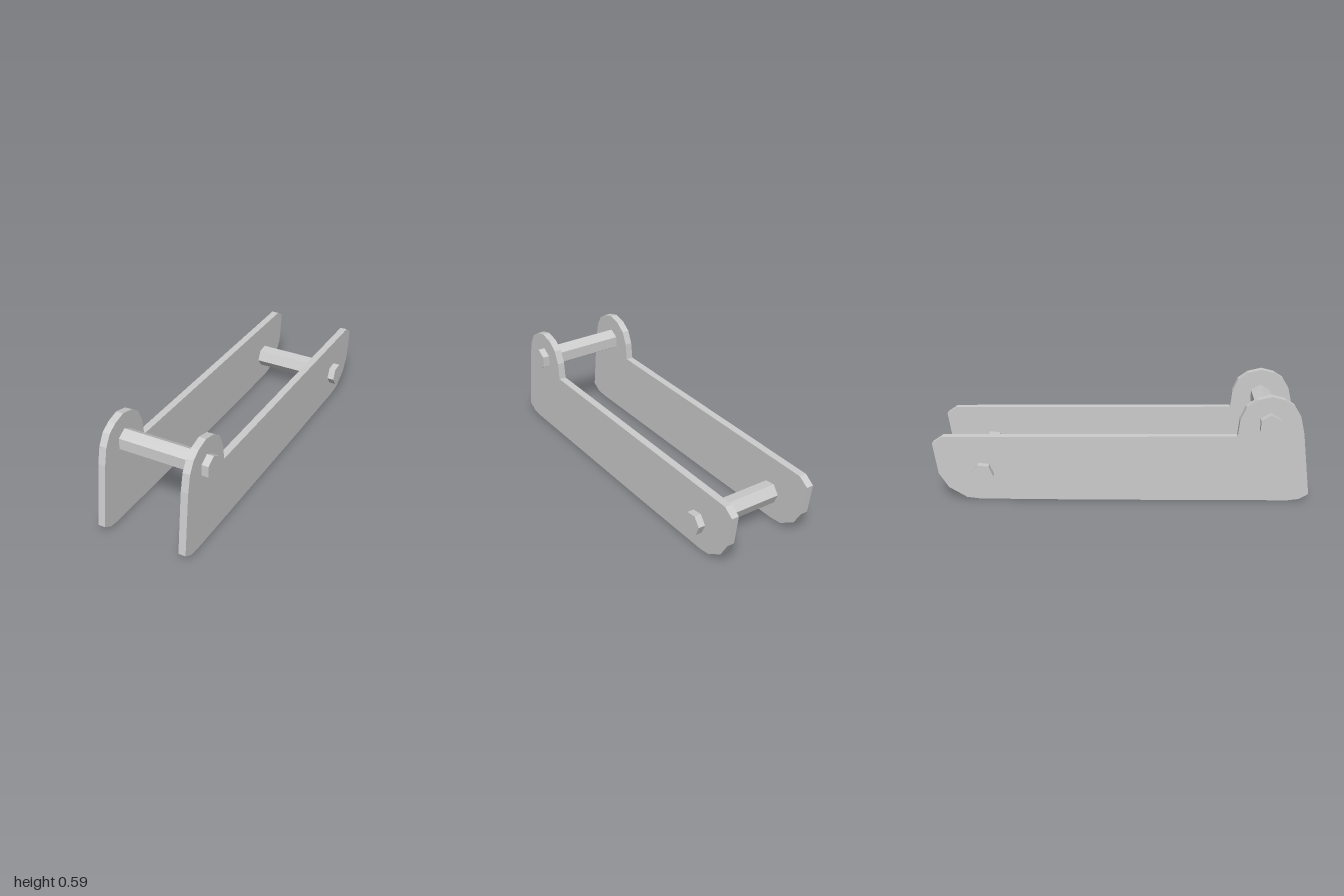
import * as THREE from 'three';

const material = new THREE.MeshStandardMaterial({ color: 0xcccccc, flatShading: true });

// Extrudes a side profile given as [z, y] points along x, centred on x
function extrudeAcross(points, width, x, name) {
  const shape = new THREE.Shape(points.map(([z, y]) => new THREE.Vector2(z, y)));
  const geometry = new THREE.ExtrudeGeometry(shape, { depth: width, bevelEnabled: false });
  geometry.translate(0, 0, -width / 2).rotateY(-Math.PI / 2);
  const mesh = new THREE.Mesh(geometry, material);
  mesh.position.x = x;
  mesh.name = name;
  return mesh;
}

// Six-sided pin profile around (z, y), turned by an angle
function hexagon(z, y, radius, turn) {
  return Array.from({ length: 6 }, (_, i) => {
    const a = turn + (i * Math.PI) / 3;
    return [z + radius * Math.cos(a), y + radius * Math.sin(a)];
  });
}

export function createModel() {
  const group = new THREE.Group();
  group.name = 'linkFrame';

  // Side plate: long bar, rounded lug at the front, clipped rounded back end
  const outline = [
    [1, 0.04], [0.95, 0.01], [0.89, 0.002], [-0.2, 0], [-0.76, 0.003],
    [-0.83, 0.012], [-0.925, 0.07], [-0.975, 0.15], [-1, 0.32], [-0.945, 0.358],
    [0.61, 0.368], [0.62, 0.46], [0.65, 0.53], [0.705, 0.57], [0.78, 0.588],
    [0.85, 0.57], [0.9, 0.538], [0.935, 0.48], [0.957, 0.385],
  ].reverse();
  for (const side of [1, -1]) {
    group.add(extrudeAcross(outline, 0.04, side * 0.232, side > 0 ? 'leftPlate' : 'rightPlate'));
  }

  // Cross pins running through both plates
  group.add(extrudeAcross(hexagon(0.777, 0.44, 0.061, Math.PI / 6), 0.58, 0, 'frontPin'));
  group.add(extrudeAcross(hexagon(-0.738, 0.157, 0.06, -0.12), 0.58, 0, 'backPin'));

  return group;
}
